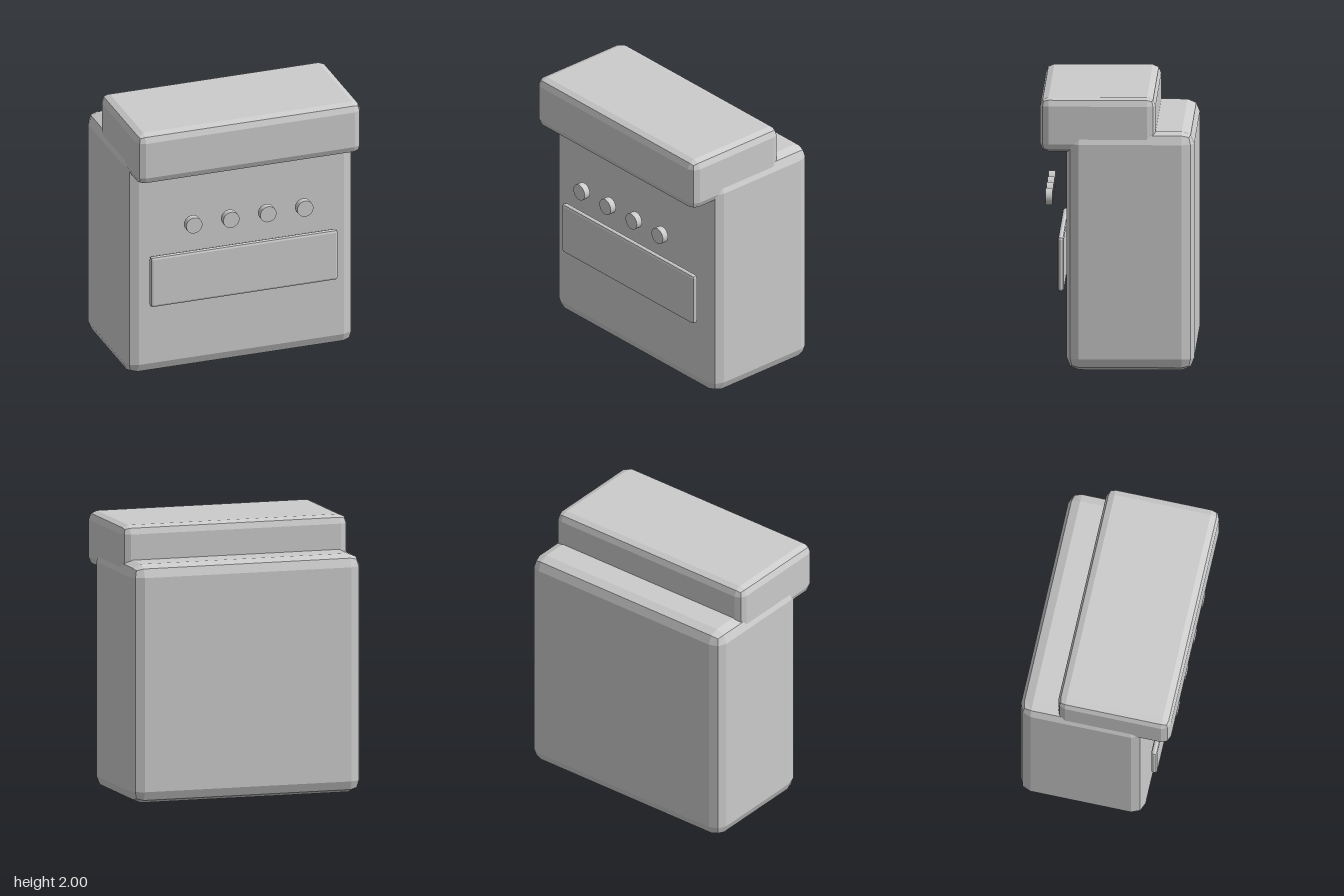
import * as THREE from 'three';
import { RoundedBoxGeometry } from 'three/addons/geometries/RoundedBoxGeometry.js';

const gray = new THREE.MeshStandardMaterial({ color: 0xcccccc });
gray.name = 'plain gray';

// Box given by its min and max corners, with a two-facet bevel on every edge
function bevelBox(name, min, max, radius) {
  const size = max.map((v, i) => v - min[i]);
  const geometry = new RoundedBoxGeometry(...size, 1, radius);
  geometry.clearGroups();
  geometry.computeVertexNormals(); // unindexed, so the facets stay flat
  const mesh = new THREE.Mesh(geometry, gray);
  mesh.name = name;
  mesh.position.set(...max.map((v, i) => (v + min[i]) / 2));
  return mesh;
}

export function createModel() {
  const model = new THREE.Group();
  model.name = 'cabinet';

  // Main housing, overhanging top and front panel
  model.add(
    bevelBox('body', [-0.88, 0, -0.56], [0.88, 1.75, 0.365], 0.09),
    bevelBox('topHood', [-0.865, 1.6, -0.28], [0.865, 2, 0.557], 0.062),
    bevelBox('frontPanel', [-0.722, 0.56, 0.387], [0.722, 0.96, 0.432], 0.02)
  );

  // Row of round buttons standing off the front
  const buttonGeometry = new THREE.CylinderGeometry(0.062, 0.062, 0.05, 32);
  buttonGeometry.rotateX(Math.PI / 2);
  for (let i = 0; i < 4; i++) {
    const button = new THREE.Mesh(buttonGeometry, gray);
    button.name = `button${i + 1}`;
    button.position.set(-0.421 + i * 0.285, 1.214, 0.501);
    model.add(button);
  }

  return model;
}
